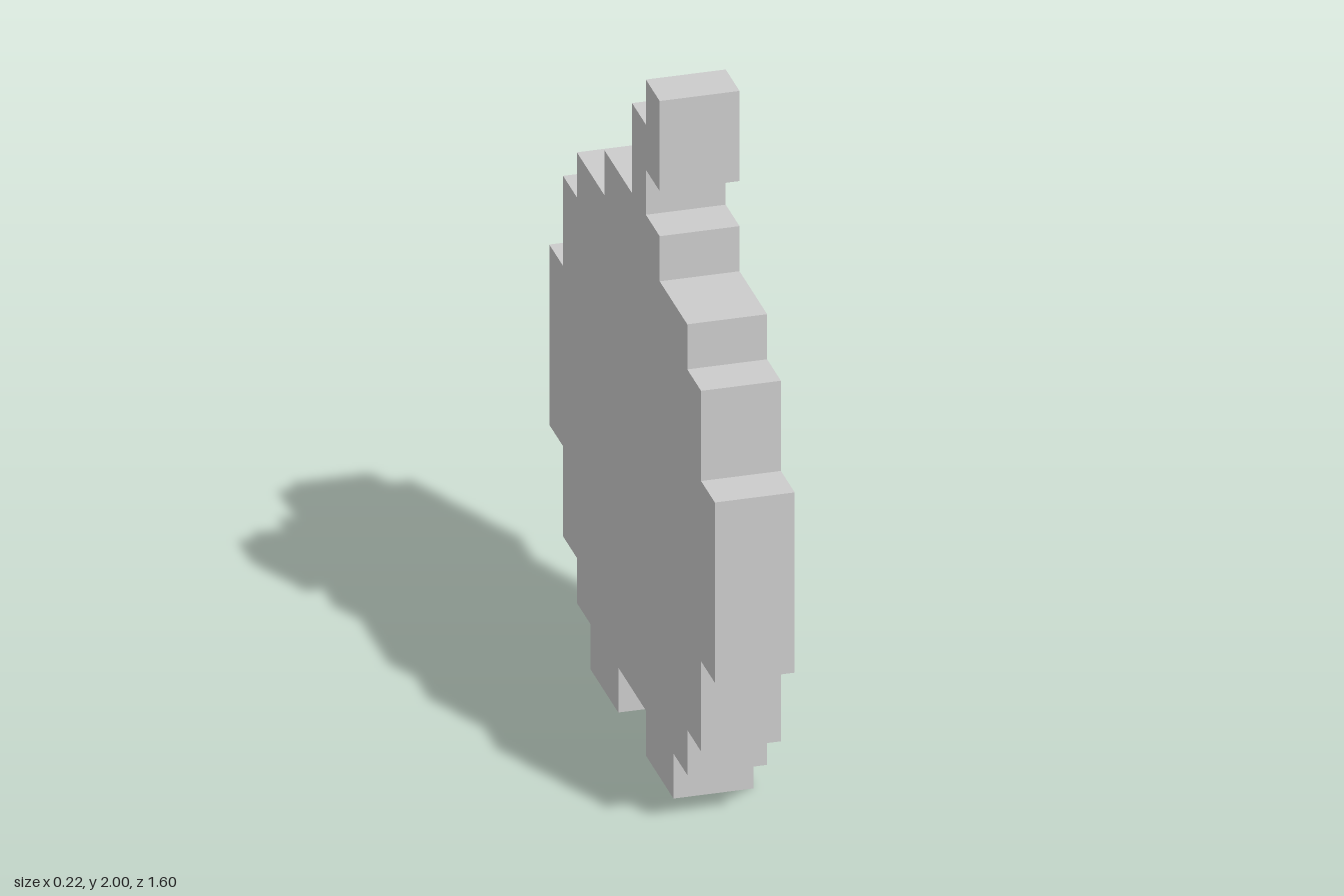
import * as THREE from 'three';

const CELL = 2 / 15;     // size of one pixel block
const THICKNESS = 0.22;

// Extrude a stepped outline of [z, y] cells into a slab centred on x = 0.
function slab(name, outline, material) {
  const shape = new THREE.Shape(outline.map(([z, y]) => new THREE.Vector2(z * CELL, y * CELL)));
  const geometry = new THREE.ExtrudeGeometry(shape, { depth: THICKNESS, bevelEnabled: false });
  geometry.translate(0, 0, -THICKNESS / 2);
  geometry.rotateY(-Math.PI / 2);
  const mesh = new THREE.Mesh(geometry, material);
  mesh.name = name;
  return mesh;
}

export function createModel() {
  const grey = new THREE.MeshStandardMaterial({ color: 0xcccccc });
  grey.name = 'light grey';

  // Half of the round fruit, from the notch underneath up to the crown
  const half = [
    [1, 1], [1, 0], [3, 0], [3, 1], [4, 1], [4, 2], [5, 2], [5, 4], [6, 4],
    [6, 8], [5, 8], [5, 10], [4, 10], [4, 11], [2, 11], [2, 12],
  ];
  const mirrored = half.map(([z, y]) => [-z, y]).reverse();

  // Stem with its tip hooked to the front
  const stem = [[0, 12], [1, 12], [1, 13], [2, 13], [2, 15], [1, 15], [1, 14], [0, 14]];

  const model = new THREE.Group();
  model.name = 'pixelFruit';
  model.add(slab('fruitBody', [...half, ...mirrored], grey), slab('stem', stem, grey));
  return model;
}
